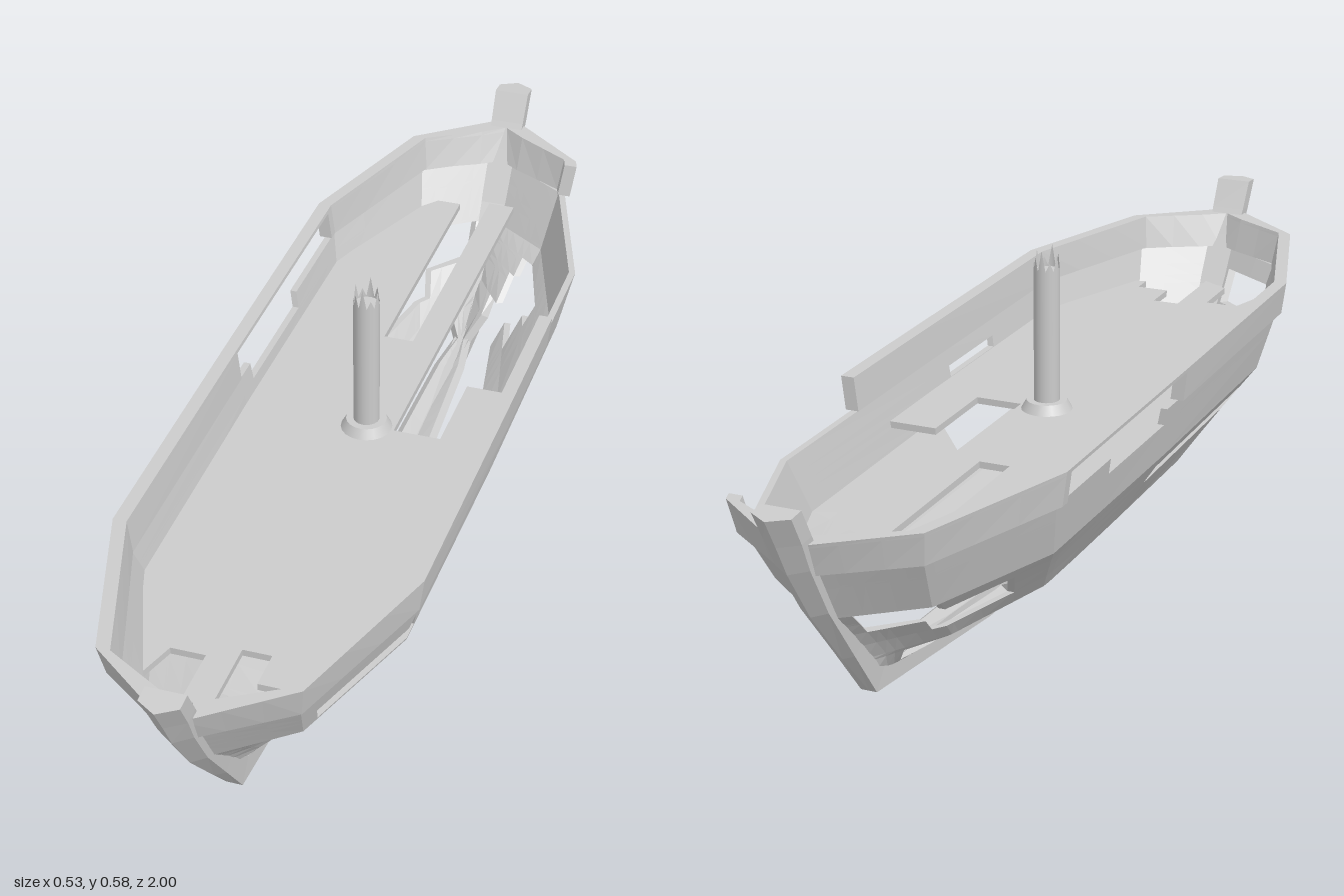
import * as THREE from 'three';

const material = new THREE.MeshStandardMaterial({ color: 0xcccccc, flatShading: true, side: THREE.DoubleSide });
const smooth = new THREE.MeshStandardMaterial({ color: 0xcccccc, side: THREE.DoubleSide });

// Stations along the hull: midship, corner, shoulder, end
const STATIONS = [0, 0.52, 0.82, 1];
// Extra cuts that keep the twisted end planking smooth
const CUTS = [0.62, 0.72, 0.88, 0.94];
// Each level: height, half breadths at the stations, z at the stations
const HULL = [
  { y: 0.035, x: [0.012, 0.012, 0.012, 0.008], z: [0, 0.27, 0.52, 0.68] },
  { y: 0.045, x: [0.04, 0.04, 0.03, 0.008], z: [0, 0.28, 0.53, 0.69] },
  { y: 0.09, x: [0.13, 0.13, 0.085, 0.01], z: [0, 0.31, 0.57, 0.72] },
  { y: 0.235, x: [0.226, 0.222, 0.135, 0.012], z: [0, 0.48, 0.74, 0.84] },
  { y: 0.335, x: [0.246, 0.244, 0.152, 0.015], z: [0, 0.52, 0.8, 0.905] },
];
const RAIL = [
  { y: 0.335, x: [0.256, 0.254, 0.158, 0.015], z: [0, 0.52, 0.81, 0.915] },
  { y: 0.395, x: [0.263, 0.262, 0.166, 0.015], z: [0, 0.52, 0.825, 0.945] },
];

// Missing planking: [t from, t to, y from, y to], t running from stern to bow
const HULL_HOLES = {
  1: [
    [-0.92, -0.48, 0.045, 0.09], [-0.92, -0.8, 0.09, 0.13], [-0.88, -0.7, 0.13, 0.18],
    [-0.86, -0.66, 0.18, 0.21],
    [0, 0.52, 0.17, 0.205], [0, 0.4, 0.205, 0.235], [0.08, 0.27, 0.285, 0.305],
    [0.48, 0.78, 0.24, 0.27],
  ],
  '-1': [
    [-0.92, -0.48, 0.045, 0.08], [-0.85, -0.62, 0.13, 0.2], [-0.96, -0.8, 0.17, 0.235],
    [0, 0.52, 0.17, 0.205], [0.8, 0.96, 0.24, 0.3], [-0.3, -0.05, 0.305, 0.335],
  ],
};
const RAIL_HOLES = {
  1: [[-0.8, -0.27, 0.335, 0.395]],
  '-1': [[-0.5, 0, 0.335, 0.388]],
};

const lerp = THREE.MathUtils.lerp;

// Point on the hull skin at station t and height y, moved inward by inset
function skin(levels, side, t, y, inset) {
  const a = Math.abs(t);
  const s = a <= 0.52 ? 0 : a <= 0.82 ? 1 : 2;
  const f = (a - STATIONS[s]) / (STATIONS[s + 1] - STATIONS[s]);
  let l = 0;
  while (l < levels.length - 2 && y > levels[l + 1].y) l++;
  const g = (y - levels[l].y) / (levels[l + 1].y - levels[l].y);
  const at = (key) => lerp(
    lerp(levels[l][key][s], levels[l][key][s + 1], f),
    lerp(levels[l + 1][key][s], levels[l + 1][key][s + 1], f), g);
  const z = at('z');
  // The bottom rises toward both ends
  const lift = 0.035 * Math.max(0, (z - 0.27) / 0.43) * Math.max(0, (0.235 - y) / 0.2);
  const x = Math.max(0.001, at('x') - inset);
  const up = y < 0.1 ? inset * 0.8 : 0;
  return [side * x, y + lift + up, Math.sign(t) * (z - (a > 0.82 ? inset * 1.3 * f : 0))];
}

function geometryFrom(positions) {
  const geometry = new THREE.BufferGeometry();
  geometry.setAttribute('position', new THREE.Float32BufferAttribute(positions, 3));
  geometry.computeVertexNormals();
  return geometry;
}

// Thick planked shell with rectangular breaks
function shell(levels, side, holes, thickness) {
  const sorted = (list) => [...new Set(list)].sort((a, b) => a - b);
  const stations = [...STATIONS, ...CUTS];
  const ts = sorted([...stations, ...stations.map((t) => -t || 0), ...holes.flatMap((h) => [h[0], h[1]])]);
  const ys = sorted([...levels.map((l) => l.y), ...holes.flatMap((h) => [h[2], h[3]])]);
  const solid = (i, j) => {
    if (i < 0 || j < 0 || i >= ts.length - 1 || j >= ys.length - 1) return false;
    const t = (ts[i] + ts[i + 1]) / 2, y = (ys[j] + ys[j + 1]) / 2;
    return !holes.some((h) => t > h[0] && t < h[1] && y > h[2] && y < h[3]);
  };
  const out = [];
  const quad = (a, b, c, d) => {
    const order = side > 0 ? [a, c, b, a, d, c] : [a, b, c, a, c, d];
    order.forEach((p) => out.push(...p));
  };
  for (let i = 0; i < ts.length - 1; i++) {
    for (let j = 0; j < ys.length - 1; j++) {
      if (!solid(i, j)) continue;
      const ring = [[i, j], [i + 1, j], [i + 1, j + 1], [i, j + 1]];
      const o = ring.map(([a, b]) => skin(levels, side, ts[a], ys[b], 0));
      const n = ring.map(([a, b]) => skin(levels, side, ts[a], ys[b], thickness));
      quad(...o);
      quad(n[3], n[2], n[1], n[0]);
      // Close the plank edges beside a gap
      [[0, -1], [1, 0], [0, 1], [-1, 0]].forEach(([di, dj], k) => {
        const m = (k + 1) % 4;
        if (!solid(i + di, j + dj)) quad(o[m], o[k], n[k], n[m]);
      });
    }
  }
  return geometryFrom(out);
}

// Keel and both stem posts as one swept timber
function keelGeometry() {
  // outer z, outer y, inner z, inner y, half width, ridge
  const half = [
    [0.27, 0, 0.27, 0.04, 0.014, 0], [0.695, 0.048, 0.665, 0.085, 0.014, 0],
    [0.78, 0.14, 0.74, 0.162, 0.018, 0.2], [0.875, 0.25, 0.83, 0.268, 0.024, 0.3],
    [0.94, 0.345, 0.89, 0.358, 0.029, 0.35], [0.97, 0.4, 0.92, 0.405, 0.032, 0.4],
    [1, 0.452, 0.95, 0.456, 0.033, 0.4],
  ];
  const path = [...half.map(([a, b, c, ...r]) => [-a, b, -c, ...r]).reverse(), ...half];
  const rings = path.map(([zo, yo, zi, yi, w, r]) => {
    const zr = lerp(zo, zi, r), yr = lerp(yo, yi, r);
    return [[0, yo, zo], [w, yr, zr], [w, yi, zi], [-w, yi, zi], [-w, yr, zr]];
  });
  const out = [];
  const tri = (...points) => points.forEach((p) => out.push(...p));
  for (let i = 0; i < rings.length - 1; i++) {
    for (let k = 0; k < 5; k++) {
      const m = (k + 1) % 5, a = rings[i], b = rings[i + 1];
      tri(a[k], a[m], b[m]);
      tri(a[k], b[m], b[k]);
    }
  }
  const first = rings[0], last = rings[rings.length - 1];
  for (let k = 1; k < 4; k++) {
    tri(first[0], first[k + 1], first[k]);
    tri(last[0], last[k], last[k + 1]);
  }
  return geometryFrom(out);
}

// Deck outline with torn bow edge and missing boards toward the stern
function deckGeometry() {
  const outline = [
    [0.224, 0.5], [0.13, 0.745], [0.11, 0.75], [0.11, 0.71], [0.05, 0.71], [0.05, 0.64], [0, 0.64],
    [0, 0.8], [-0.05, 0.77], [-0.05, 0.67], [-0.11, 0.67], [-0.13, 0.735], [-0.224, 0.5],
    [-0.224, -0.5], [-0.125, -0.75], [-0.1, -0.78], [-0.055, -0.78], [-0.055, -0.28], [0, -0.28],
    [0, -0.8], [0.05, -0.8], [0.05, 0], [0.135, 0], [0.135, -0.17], [0.224, -0.17],
  ];
  const shape = new THREE.Shape(outline.map(([x, z]) => new THREE.Vector2(x, -z)));
  return new THREE.ExtrudeGeometry(shape, { depth: 0.012, bevelEnabled: false })
    .rotateX(-Math.PI / 2).translate(0, 0.272, 0);
}

// Broken mast: the top rim is pulled into uneven splinters
function mastGeometry() {
  const geometry = new THREE.CylinderGeometry(0.023, 0.023, 0.26, 20, 1, true).translate(0, 0.41, 0);
  const p = geometry.attributes.position;
  const tips = [0.578, 0.556, 0.57, 0.552, 0.564];
  for (let i = 0; i <= 20; i++) p.setY(i, i % 2 ? 0.54 : tips[((i % 20) / 2) % 5]);
  return geometry;
}

export function createModel() {
  const model = new THREE.Group();
  model.name = 'wreckedBoat';
  const add = (name, geometry, mat = material) => {
    const mesh = new THREE.Mesh(geometry, mat);
    mesh.name = name;
    model.add(mesh);
  };

  for (const side of [1, -1]) {
    const label = side > 0 ? 'left' : 'right';
    add(label + 'Hull', shell(HULL, side, HULL_HOLES[side], 0.012));
    add(label + 'Rail', shell(RAIL, side, RAIL_HOLES[side], 0.024));
  }
  add('keelAndStems', keelGeometry());
  add('deck', deckGeometry());

  // Mast stump with its collar
  add('mast', mastGeometry(), smooth);
  add('mastBreak', new THREE.CircleGeometry(0.023, 20).rotateX(-Math.PI / 2).translate(0, 0.538, 0));
  add('mastCollar', new THREE.CylinderGeometry(0.036, 0.046, 0.018, 20).translate(0, 0.292, 0), smooth);
  return model;
}
